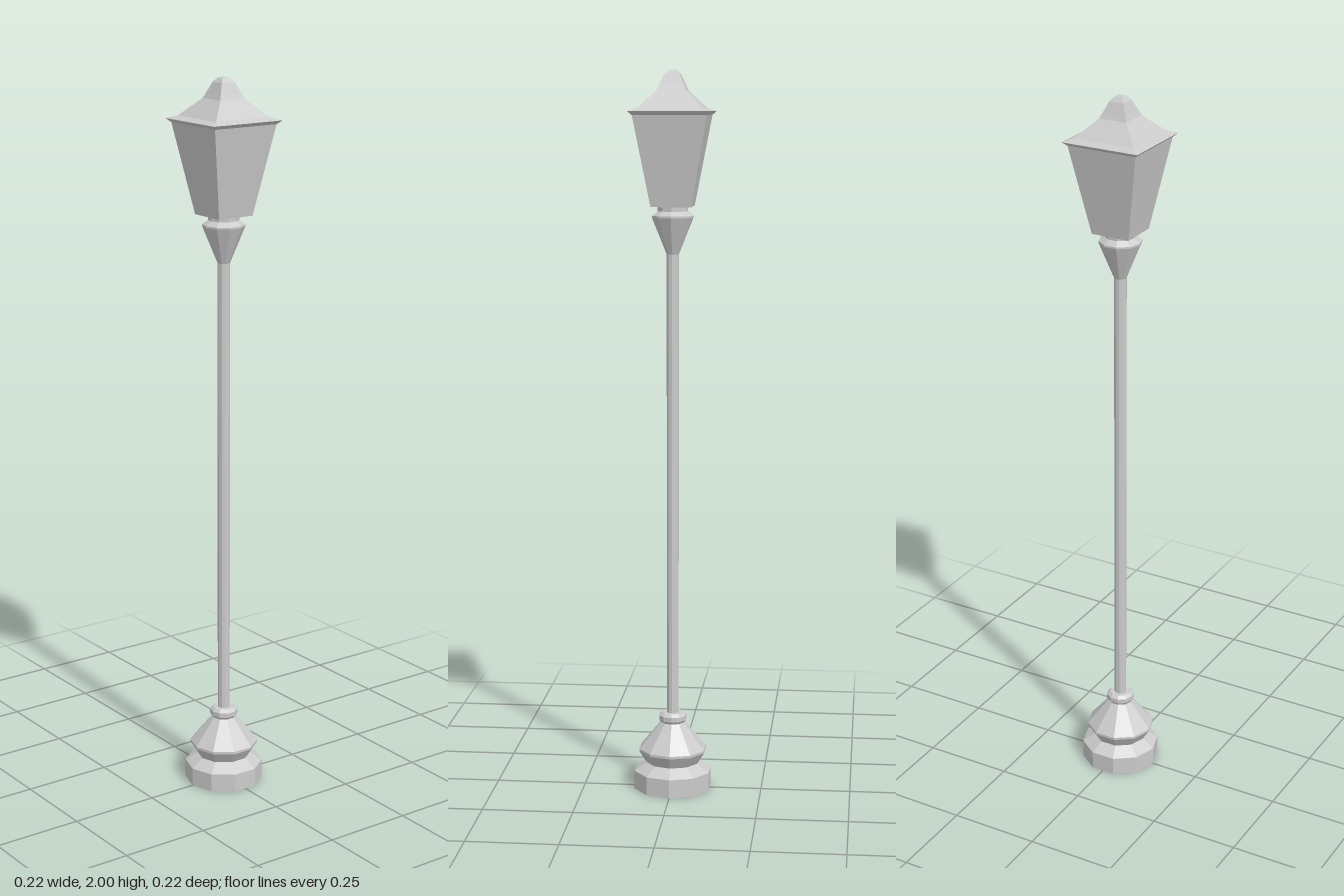
import * as THREE from 'three';

const material = new THREE.MeshStandardMaterial({ color: 0xcccccc, flatShading: true, side: THREE.DoubleSide });

// Faceted turned part: profile of [radius, y], bottom to top
function turned(name, profile, sides, start, scale = 1) {
  const points = profile.map(([r, y]) => new THREE.Vector2(r * scale, y));
  const mesh = new THREE.Mesh(new THREE.LatheGeometry(points, sides, start), material);
  mesh.name = name;
  return mesh;
}

// Ten-sided part with a corner on the x axis
const round = (name, profile) => turned(name, profile, 10, Math.PI / 2);
// Square part; radii are half widths
const square = (name, profile) => turned(name, profile, 4, Math.PI / 4, Math.SQRT2);

export function createModel() {
  const lamp = new THREE.Group();
  lamp.name = 'streetLamp';
  lamp.add(
    // Stepped foot, waist, bell and collar
    round('base', [
      [0, 0], [0.11, 0], [0.11, 0.052], [0.075, 0.075], [0.096, 0.108], [0.096, 0.115],
      [0.034, 0.19], [0.039, 0.197], [0.039, 0.21], [0.03, 0.218], [0, 0.218],
    ]),
    round('post', [[0.017, 0.21], [0.017, 1.51]]),
    // Flared cup under the lantern
    round('lanternHolder', [
      [0, 1.5], [0.017, 1.505], [0.058, 1.605], [0.058, 1.61], [0.042, 1.622], [0.042, 1.636], [0, 1.636],
    ]),
    square('lantern', [[0, 1.635], [0.055, 1.635], [0.1, 1.882]]),
    // Concave hipped roof with thin eaves
    square('roof', [
      [0, 1.88], [0.1, 1.88], [0.111, 1.89], [0.087, 1.898], [0.04, 1.945], [0.033, 1.96],
      [0.021, 1.988], [0.01, 2], [0, 2],
    ]),
  );
  return lamp;
}
